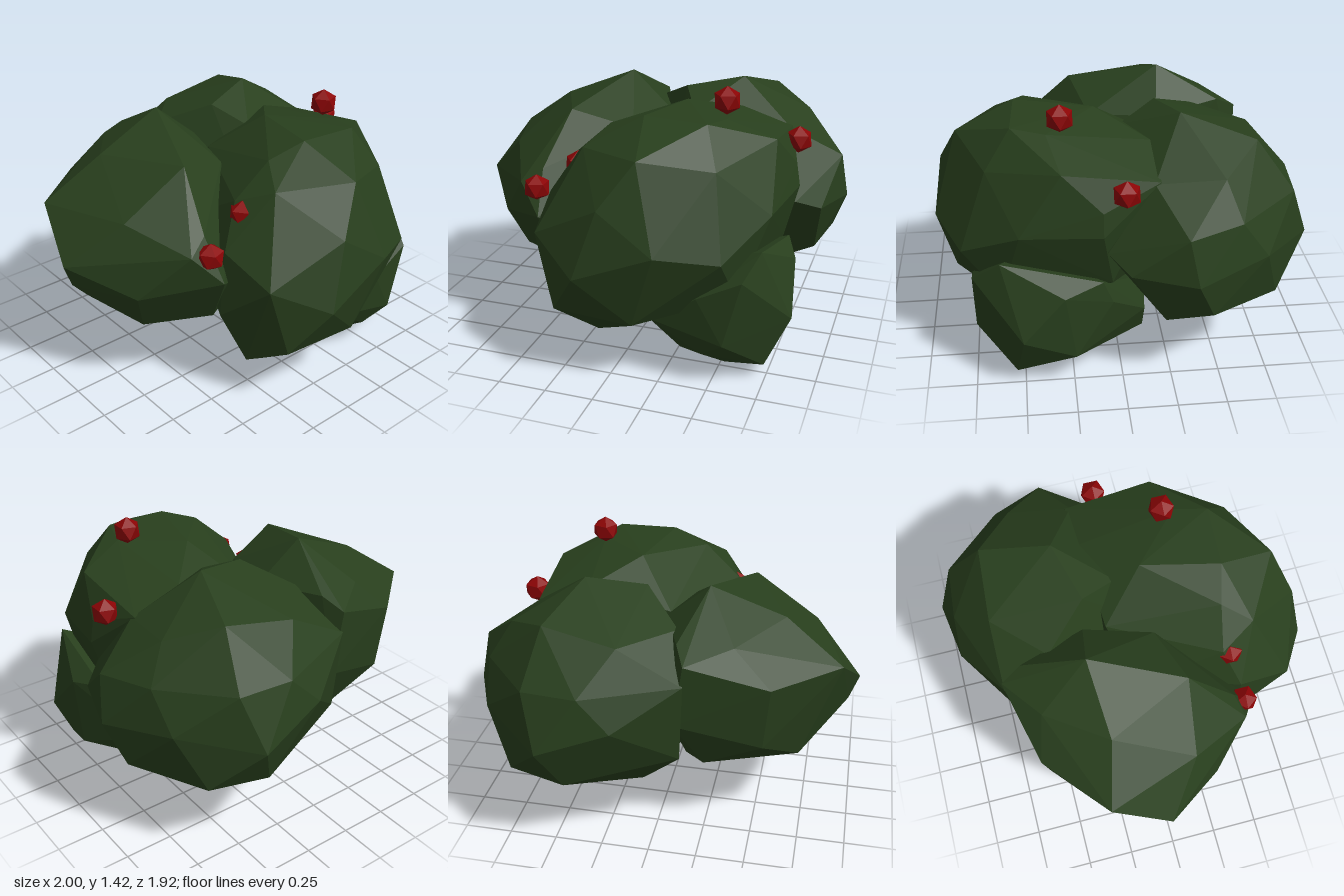
import * as THREE from 'three';
import { ConvexGeometry } from 'three/addons/geometries/ConvexGeometry.js';

// Foliage lumps: corner points of each faceted, convex clump
const LUMPS = {
  frontFoliage: [
    // crown
    [-0.09, 1.23, 0.45], [0.1, 1.297, 0.5], [0.2, 1.285, 0.1], [0.42, 1.287, 0.52],
    [0.47, 1.27, 0.35], [0.43, 1.2, -0.16], [0.7, 1.11, -0.18], [0.71, 1.175, 0.29],
    [0, 1.08, -0.13],
    // left side
    [0.78, 1, 0.1], [0.8, 0.88, 0.1], [0.74, 0.86, 0.5], [0.72, 0.57, 0.05],
    [0.6, 0.45, 0.6], [0.5, 0.4, 0.1],
    // front
    [0.57, 0.7, 0.79], [0.28, 0.75, 0.925], [-0.11, 0.6, 0.957], [0, 0.94, 0.9],
    [0.16, 1.165, 0.8], [0.5, 1.1, 0.65], [0.15, 0.35, 0.85], [-0.27, 0.36, 0.82],
    // right side
    [-0.37, 0.74, 0.786], [-0.44, 0.5, 0.5], [-0.41, 0.85, 0.5], [-0.28, 1.06, 0.42],
    [-0.18, 1.14, 0.6], [-0.25, 0.8, 0],
    // underside
    [-0.35, 0.24, 0.6], [-0.15, 0.115, 0.53], [0.09, 0.17, 0.42], [0.03, 0.19, -0.17],
  ],
  rightFoliage: [
    // crown
    [-0.23, 1.32, -0.28], [-0.61, 1.17, -0.25], [-0.39, 1.13, -0.55], [-0.17, 1.09, -0.71],
    [-0.12, 1.15, -0.6], [-0.41, 1.2, 0.19], [-0.1, 1.1, 0.1], [0, 1.12, -0.25],
    // outer side
    [-1, 0.75, -0.03], [-0.91, 0.96, -0.33], [-0.75, 0.98, 0.15], [-0.78, 0.62, 0.28],
    [-0.95, 0.62, -0.05], [-0.84, 0.49, -0.1],
    // front and back
    [-0.59, 0.87, 0.47], [-0.48, 0.94, 0.43], [-0.46, 0.72, 0.56], [-0.2, 0.6, 0.4],
    [-0.42, 0.45, 0.42], [-0.58, 0.95, -0.61], [-0.55, 0.6, -0.58], [-0.12, 0.75, -0.7],
    [0.1, 0.7, -0.1],
    // underside
    [-0.7, 0.4, 0.2], [-0.47, 0.265, 0.03], [-0.72, 0.45, -0.37], [-0.25, 0.45, -0.55],
    [-0.1, 0.27, -0.22],
  ],
  backFoliage: [
    // crown
    [0.4, 1.325, -0.31], [0.1, 1.27, -0.22], [0.52, 1.22, -0.67], [0.74, 1.13, -0.48],
    [0.7, 1.1, -0.15], [0.15, 1.15, -0.7], [-0.1, 1.15, -0.45], [0.2, 1.18, -0.03],
    // inner side
    [0.1, 0.8, 0.1], [0.4, 0.8, 0.15],
    // outer side
    [0.995, 0.7, -0.33], [0.96, 0.94, -0.28], [0.92, 0.485, -0.42], [0.9, 0.72, -0.02],
    [0.78, 0.78, 0.08], [0.83, 0.75, -0.69], [0.85, 0.95, -0.55], [0.85, 0.42, -0.2],
    // back
    [0.5, 0.675, -0.965], [0.58, 0.96, -0.86], [0.3, 0.96, -0.885], [0.14, 0.8, -0.905],
    [-0.17, 0.98, -0.71], [-0.15, 0.55, -0.68],
    // underside
    [0.7, 0.45, -0.78], [0.4, 0.44, -0.86], [0.52, 0.32, -0.615], [0.29, 0.26, -0.36],
    [0.05, 0.35, -0.6], [0, 0.27, -0.28], [0.6, 0.3, -0.2],
  ],
  lowFoliage: [
    // top
    [0.72, 0.71, 0.6], [0.66, 0.6, 0.74], [0.3, 0.55, 0.4], [0.76, 0.6, 0.1],
    // outer side and front
    [0.83, 0.56, 0.29], [0.86, 0.33, 0.5], [0.82, 0.2, 0.24], [0.76, 0.48, 0.05],
    [0.64, 0.34, -0.12], [0.44, 0.49, 0.75], [0.57, 0.25, 0.74], [0.2, 0.33, 0.72],
    // underside
    [0.74, 0.07, 0.54], [0.52, 0, 0.46], [0.55, 0.04, 0.23], [0.29, 0.07, 0.5],
    [0.45, 0.15, 0.67], [0.1, 0.18, 0.4], [0.56, 0.18, -0.12], [0.15, 0.2, -0.18],
  ],
};

// Berry centres
const BERRIES = [
  [0.452, 1.345, 0.28],
  [0.765, 1.09, -0.01],
  [-0.49, 0.855, 0.49],
  [-0.265, 1.0, 0.46],
];

export function createModel() {
  const group = new THREE.Group();
  group.name = 'berryBush';

  const leafGreen = new THREE.MeshStandardMaterial({ color: 0x283f1d });
  leafGreen.name = 'leafGreen';
  const berryRed = new THREE.MeshStandardMaterial({ color: 0x8b0405 });
  berryRed.name = 'berryRed';

  const add = (name, geometry, material) => {
    const mesh = new THREE.Mesh(geometry, material);
    mesh.name = name;
    group.add(mesh);
    return mesh;
  };

  for (const [name, points] of Object.entries(LUMPS)) {
    add(name, new ConvexGeometry(points.map((p) => new THREE.Vector3(...p))), leafGreen);
  }

  // Berries, turned so one corner points straight up
  const berry = new THREE.IcosahedronGeometry(0.072, 0);
  berry.rotateZ(Math.atan(2 / (1 + Math.sqrt(5))));
  BERRIES.forEach((p, i) => add(`berry${i + 1}`, berry, berryRed).position.set(...p));

  return group;
}
